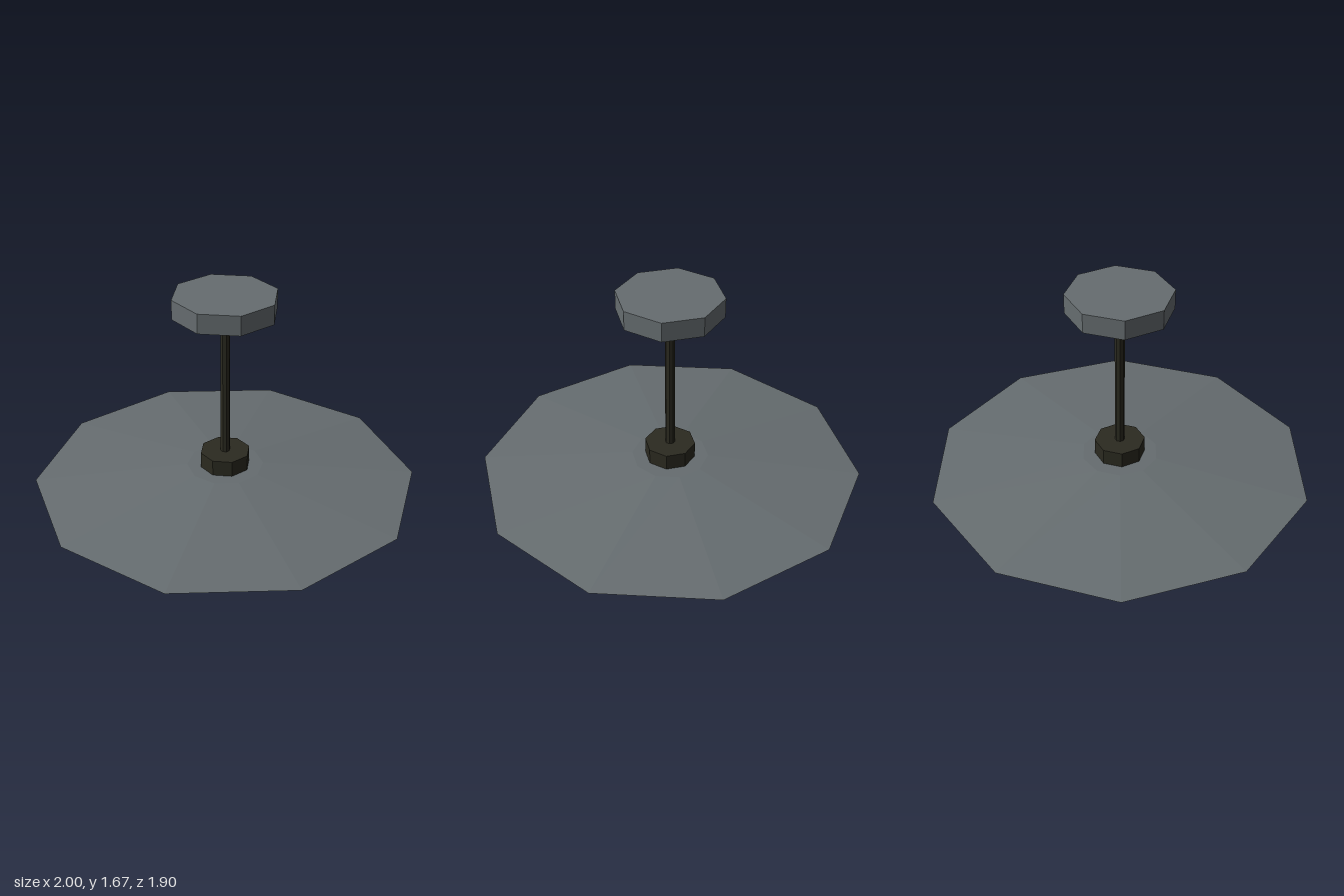
import * as THREE from 'three';

export function createModel() {
  const group = new THREE.Group();
  const mat = (name, color) => {
    const m = new THREE.MeshStandardMaterial({ color, flatShading: true });
    m.name = name;
    return m;
  };
  const grey = mat('slate grey metal', 0x666d70);
  const dark = mat('dark bronze', 0x2b2a20);
  const amber = mat('amber glass', 0xdcb97a);

  const add = (name, geometry, material, y = 0) => {
    const mesh = new THREE.Mesh(geometry, material);
    mesh.name = name;
    mesh.position.y = y;
    group.add(mesh);
  };

  // Octagons are sized across their flats, with a flat facing front
  const toCorner = 1 / Math.cos(Math.PI / 8);
  const octagon = (name, flat, y0, y1, material) => {
    const r = flat * toCorner;
    const g = new THREE.CylinderGeometry(r, r, y1 - y0, 8).rotateY(Math.PI / 8);
    add(name, g, material, (y0 + y1) / 2);
  };

  octagon('ceilingPlate', 0.245, 1.57, 1.67, grey);
  octagon('rod', 0.023, 0.79, 1.58, dark);
  octagon('socket', 0.121, 0.54, 0.80, dark);

  // Shallow ten-sided shade with a corner on each side
  const shade = new THREE.CylinderGeometry(0.2, 1, 0.08, 10).rotateY(Math.PI / 2);
  add('shade', shade, grey, 0.675);

  // Faceted bulb, closed at both ends
  const profile = [[0, 0], [0.073, 0], [0.22, 0.2], [0.198, 0.335], [0.07, 0.545], [0, 0.545]]
    .map(([flat, y]) => new THREE.Vector2(flat * toCorner, y));
  add('bulb', new THREE.LatheGeometry(profile, 8).rotateY(Math.PI / 8), amber);

  return group;
}
